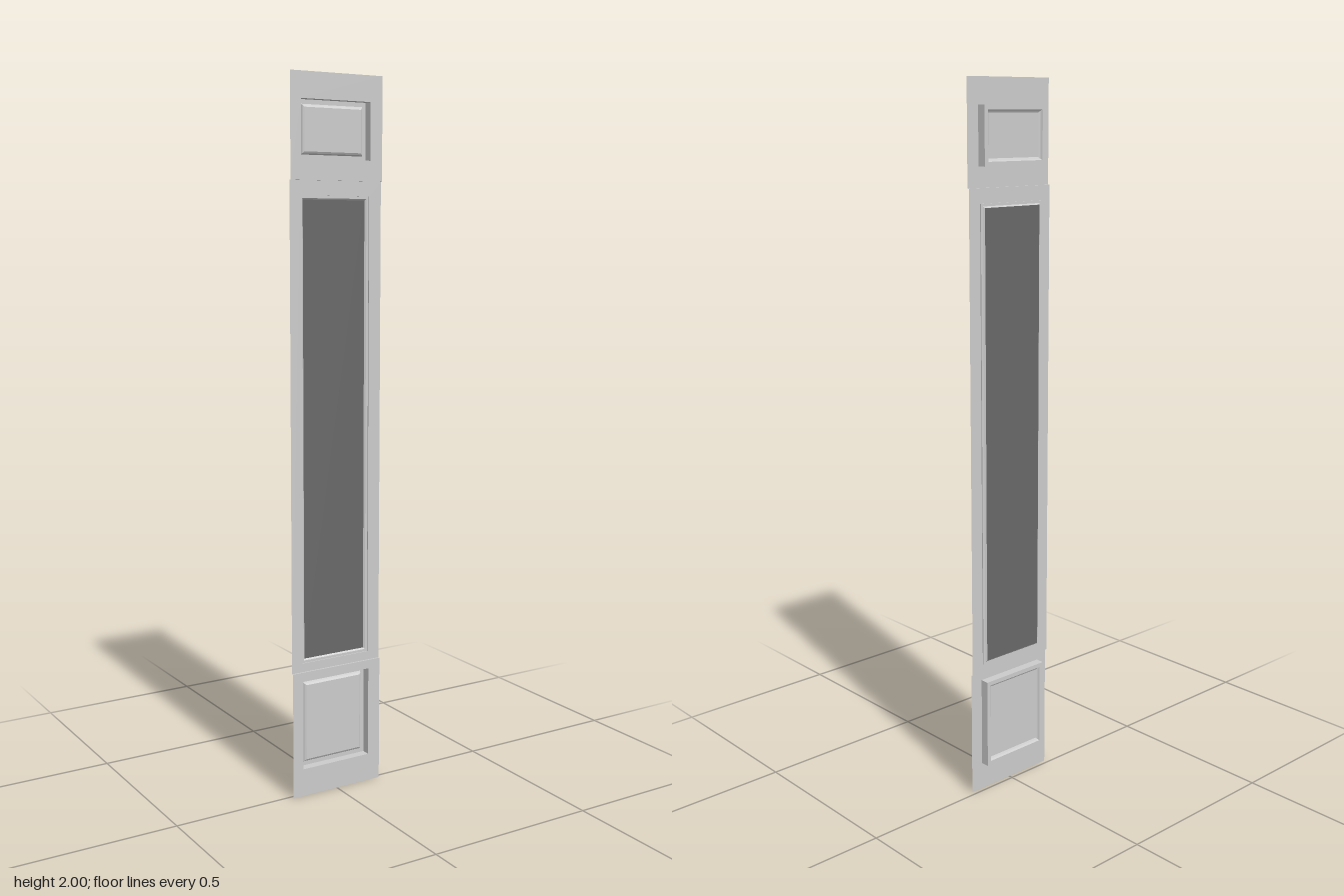
import * as THREE from 'three';

const grey = new THREE.MeshStandardMaterial({ color: 0xcccccc, side: THREE.DoubleSide, flatShading: true });
const dark = new THREE.MeshStandardMaterial({ color: 0x686868, side: THREE.DoubleSide, flatShading: true });

const HALF_WIDTH = 0.144;
const LEFT = -0.111, RIGHT = 0.106; // edges shared by all openings
const FRONT = 0.0125, MIDDLE = 0.007; // depths of the face sections

function add(parent, name, geometry, material = grey) {
  const mesh = new THREE.Mesh(geometry, material);
  mesh.name = name;
  parent.add(mesh);
  return mesh;
}

// Counter-clockwise corners of a rectangle shrunk by an inset
const corners = (y0, y1, inset, z) => [
  [LEFT + inset, y0 + inset, z], [RIGHT - inset, y0 + inset, z],
  [RIGHT - inset, y1 - inset, z], [LEFT + inset, y1 - inset, z],
];

// Rectangular moulding following a profile of [inset, z] points
function mouldingGeometry(y0, y1, profile) {
  const pos = [];
  for (let i = 0; i < profile.length - 1; i++) {
    const a = corners(y0, y1, ...profile[i]);
    const b = corners(y0, y1, ...profile[i + 1]);
    for (let k = 0; k < 4; k++) {
      const n = (k + 1) % 4;
      pos.push(...a[k], ...a[n], ...b[n], ...a[k], ...b[n], ...b[k]);
    }
  }
  const g = new THREE.BufferGeometry();
  g.setAttribute('position', new THREE.Float32BufferAttribute(pos, 3));
  g.computeVertexNormals();
  return g;
}

// One thin face section with its opening, moulding and infill
function section(name, { bottom, top, z, y0, y1, profile, infill, material }) {
  const group = new THREE.Group();
  group.name = name;

  const shape = new THREE.Shape([
    new THREE.Vector2(-HALF_WIDTH, bottom), new THREE.Vector2(HALF_WIDTH, bottom),
    new THREE.Vector2(HALF_WIDTH, top), new THREE.Vector2(-HALF_WIDTH, top),
  ]);
  const hole = corners(y0, y1, 0, z).reverse().map(([x, y]) => new THREE.Vector2(x, y));
  shape.holes.push(new THREE.Path(hole));
  add(group, 'face', new THREE.ShapeGeometry(shape)).position.z = z;

  add(group, 'moulding', mouldingGeometry(y0, y1, profile));

  const [inset, depth] = profile[profile.length - 1];
  const field = new THREE.PlaneGeometry(RIGHT - LEFT - 2 * inset, y1 - y0 - 2 * inset);
  add(group, infill, field, material).position.set((LEFT + RIGHT) / 2, (y0 + y1) / 2, depth);
  return group;
}

export function createModel() {
  const root = new THREE.Group();
  root.name = 'sidelightPanel';

  const panelProfile = [[0, FRONT], [0, -0.0125], [0.012, -0.0125], [0.015, -0.007], [0.02, -0.004]];
  const glassProfile = [[0, MIDDLE], [0, 0.004], [0.007, 0.004], [0.011, 0]];
  const lowerSeam = 0.365, upperSeam = 1.72;

  root.add(
    section('lowerPanel', {
      bottom: 0, top: lowerSeam, z: FRONT, y0: 0.08, y1: 0.34,
      profile: panelProfile, infill: 'panelField', material: grey,
    }),
    section('window', {
      bottom: lowerSeam, top: upperSeam, z: MIDDLE, y0: 0.39, y1: 1.68,
      profile: glassProfile, infill: 'glass', material: dark,
    }),
    section('upperPanel', {
      bottom: upperSeam, top: 2, z: FRONT, y0: 1.775, y1: 1.93,
      profile: panelProfile, infill: 'panelField', material: grey,
    }),
  );

  // Narrow ledges joining the sections
  for (const [name, y] of [['lowerLedge', lowerSeam], ['upperLedge', upperSeam]]) {
    const ledge = add(root, name, new THREE.PlaneGeometry(2 * HALF_WIDTH, FRONT - MIDDLE));
    ledge.rotation.x = -Math.PI / 2;
    ledge.position.set(0, y, (FRONT + MIDDLE) / 2);
  }
  return root;
}
